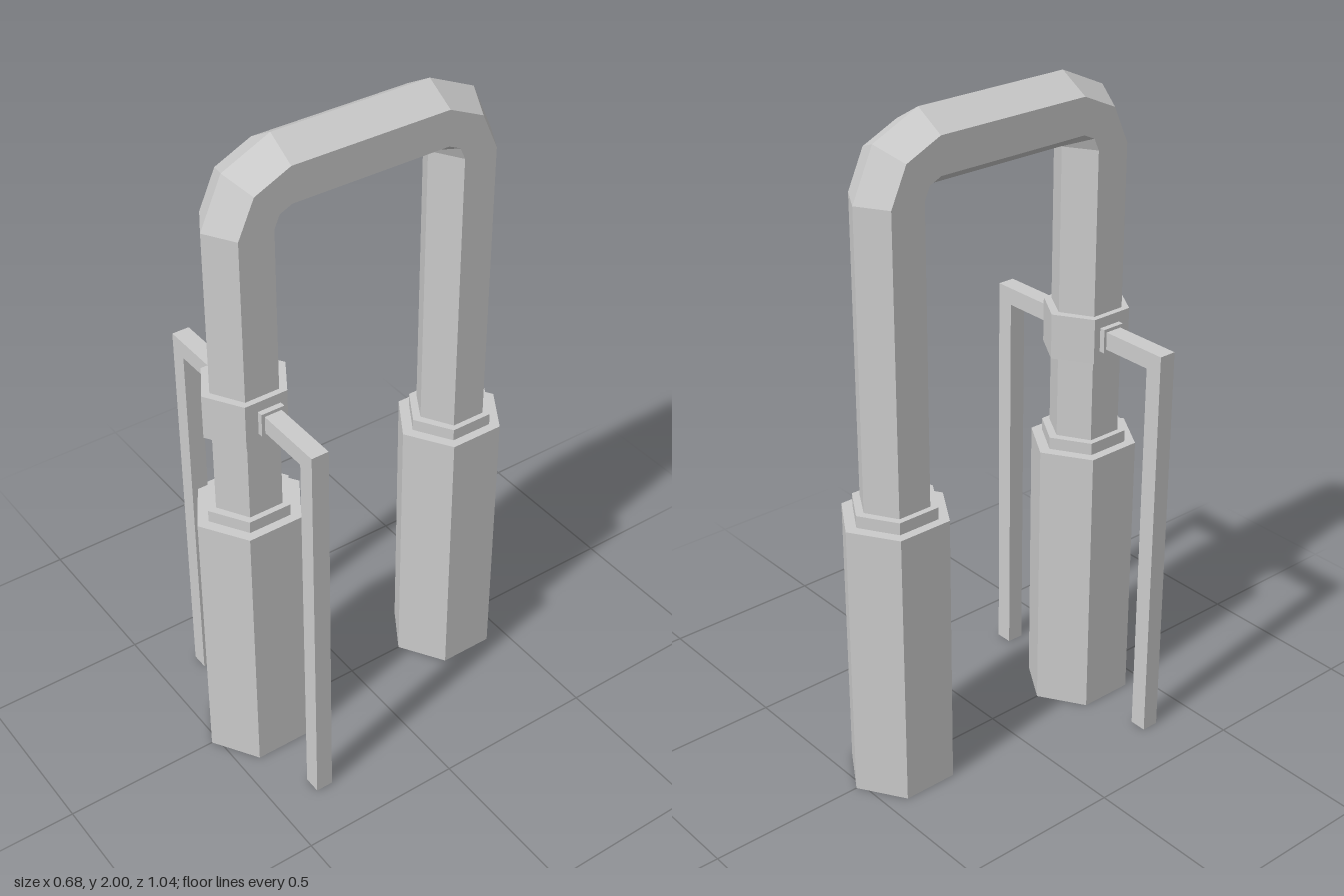
import * as THREE from 'three';

const material = new THREE.MeshStandardMaterial({ color: 0xcccccc, flatShading: true });
const LEG_Z = 0.352;      // distance of each leg from the centre
const PIVOT_Z = 0.245;    // inner corner the pipe bends around
const PIVOT_Y = 1.787;
const HEX_R = 0.1065;     // pipe section, corner to centre
const HEX_HALF_X = 0.09;  // pipe section, half width across the flats

function addMesh(parent, name, geometry, x = 0, y = 0, z = 0) {
  const mesh = new THREE.Mesh(geometry, material);
  mesh.name = name;
  mesh.position.set(x, y, z);
  parent.add(mesh);
  return mesh;
}

// Upright six-sided prism with corners pointing along z
function addHexPrism(parent, name, halfX, radius, y0, y1, z) {
  const geometry = new THREE.CylinderGeometry(radius, radius, y1 - y0, 6);
  geometry.scale(halfX / (radius * Math.sin(Math.PI / 3)), 1, 1);
  return addMesh(parent, name, geometry, 0, (y0 + y1) / 2, z);
}

// Box given by its lower and upper limits
function addBox(parent, name, [x0, x1], [y0, y1], [z0, z1]) {
  const geometry = new THREE.BoxGeometry(x1 - x0, y1 - y0, z1 - z0);
  return addMesh(parent, name, geometry, (x0 + x1) / 2, (y0 + y1) / 2, (z0 + z1) / 2);
}

// Hexagonal section swept up one leg, over the top and down the other
function pipeGeometry() {
  // pivot z, pivot y, turn in degrees, section scale
  const stations = [
    [PIVOT_Z, 0.88, 0, 1], [PIVOT_Z, PIVOT_Y, 0, 1], [PIVOT_Z, PIVOT_Y, 45, 0.97], [PIVOT_Z, PIVOT_Y, 90, 1],
    [-PIVOT_Z, PIVOT_Y, 90, 1], [-PIVOT_Z, PIVOT_Y, 135, 0.97], [-PIVOT_Z, PIVOT_Y, 180, 1], [-PIVOT_Z, 0.88, 180, 1],
  ];
  const rings = stations.map(([pz, py, degrees, scale]) => {
    const turn = THREE.MathUtils.degToRad(degrees);
    return Array.from({ length: 6 }, (_, k) => {
      const t = k * Math.PI / 3;
      const u = (0.001 + HEX_R * (1 + Math.cos(t))) * scale;
      const x = HEX_HALF_X * Math.sin(t) / Math.sin(Math.PI / 3);
      return [x, py + u * Math.sin(turn), pz + u * Math.cos(turn)];
    });
  });
  const positions = [];
  for (let s = 0; s < rings.length - 1; s++) {
    for (let k = 0; k < 6; k++) {
      const n = (k + 1) % 6;
      const a = rings[s][k], b = rings[s][n], c = rings[s + 1][n], d = rings[s + 1][k];
      positions.push(...a, ...b, ...c, ...a, ...c, ...d);
    }
  }
  const geometry = new THREE.BufferGeometry();
  geometry.setAttribute('position', new THREE.Float32BufferAttribute(positions, 3));
  geometry.computeVertexNormals();
  return geometry;
}

export function createModel() {
  const model = new THREE.Group();
  model.name = 'pipeArch';

  addMesh(model, 'archedPipe', pipeGeometry());

  // Wide feet with a stepped collar on both legs
  for (const [end, side] of [['front', 1], ['back', -1]]) {
    addHexPrism(model, end + 'Foot', 0.135, 0.169, 0, 0.867, side * LEG_Z);
    addHexPrism(model, end + 'Collar', 0.108, 0.133, 0.86, 0.904, side * LEG_Z);
  }

  // Clamp around the front leg
  addHexPrism(model, 'clamp', 0.108, 0.133, 1.16, 1.297, LEG_Z);

  // Thin bent rods on both sides of the clamp
  for (const [name, side] of [['left', 1], ['right', -1]]) {
    const span = (a, b) => (side > 0 ? [a, b] : [-b, -a]);
    const z = [0.316, 0.369];
    addBox(model, name + 'Boss', span(0.1, 0.125), [1.194, 1.266], [0.307, 0.379]);
    addBox(model, name + 'Arm', span(0.1, 0.341), [1.203, 1.256], z);
    addBox(model, name + 'Rod', span(0.288, 0.341), [0, 1.203], z);
  }

  return model;
}
